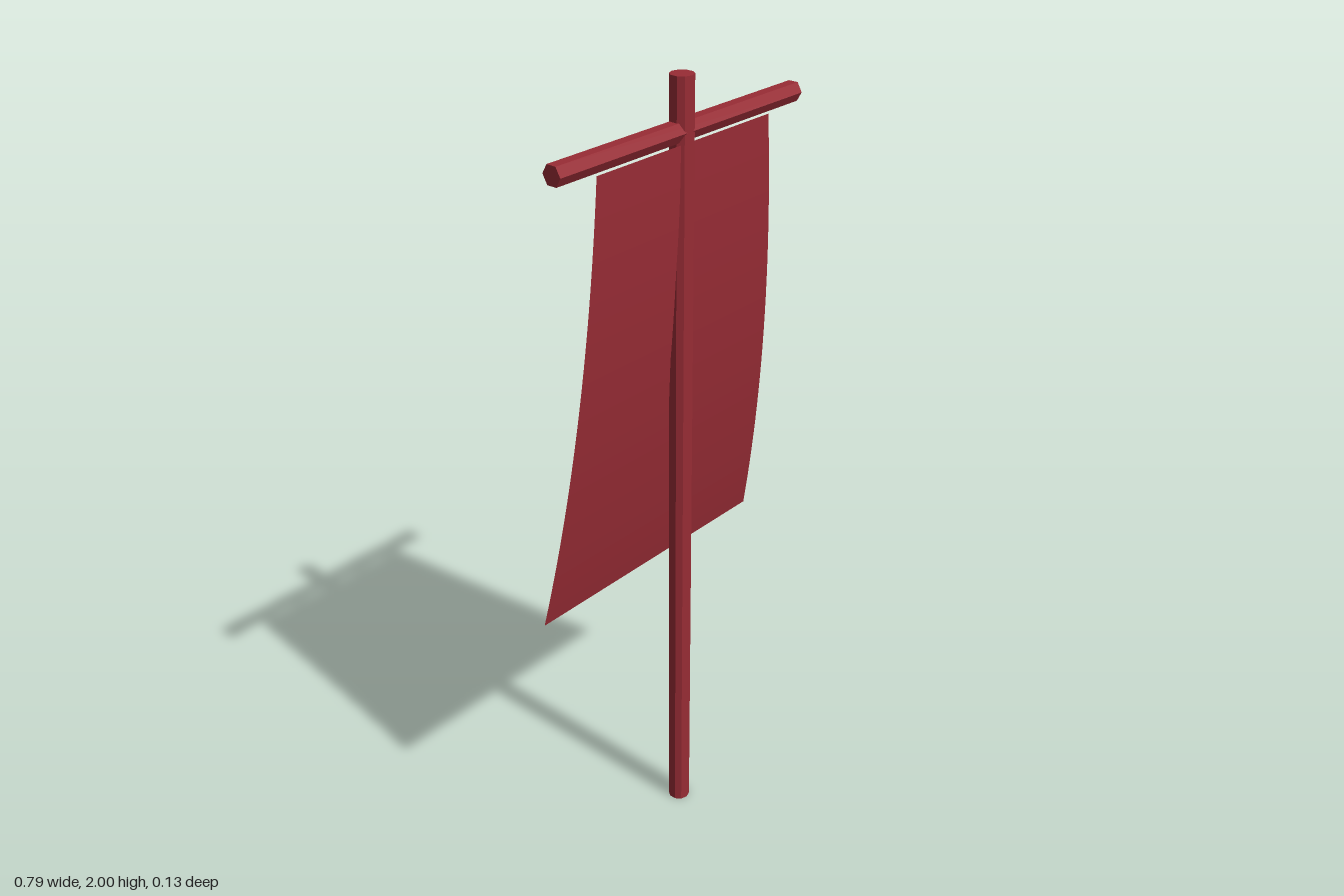
import * as THREE from 'three';

export function createModel() {
  const group = new THREE.Group();
  group.name = 'banner';

  const red = new THREE.MeshStandardMaterial({ color: 0x982c35 });
  red.name = 'deep red';
  red.flatShading = true;
  red.side = THREE.DoubleSide;

  const poleZ = 0.035;

  // upright pole
  const pole = new THREE.Mesh(new THREE.CylinderGeometry(0.028, 0.028, 2, 10), red);
  pole.name = 'pole';
  pole.position.set(0, 1, poleZ);
  group.add(pole);

  // hexagonal crossbar, flat faces up and down
  const barGeometry = new THREE.CylinderGeometry(0.025, 0.025, 0.79, 6).rotateZ(Math.PI / 2);
  const bar = new THREE.Mesh(barGeometry, red);
  bar.name = 'crossbar';
  bar.position.set(0, 1.878, poleZ);
  group.add(bar);

  // cloth: widens downwards and sweeps back in a gentle curve
  const top = 1.852, bottom = 0.73;
  const clothGeometry = new THREE.PlaneGeometry(1, 1, 1, 24);
  const p = clothGeometry.attributes.position;
  for (let i = 0; i < p.count; i++) {
    const t = 0.5 - p.getY(i);
    const width = THREE.MathUtils.lerp(0.566, 0.764, t);
    p.setXYZ(i, p.getX(i) * width, THREE.MathUtils.lerp(top, bottom, t), 0.051 - 0.116 * t * t);
  }
  clothGeometry.computeVertexNormals();
  const cloth = new THREE.Mesh(clothGeometry, red);
  cloth.name = 'cloth';
  group.add(cloth);

  return group;
}
